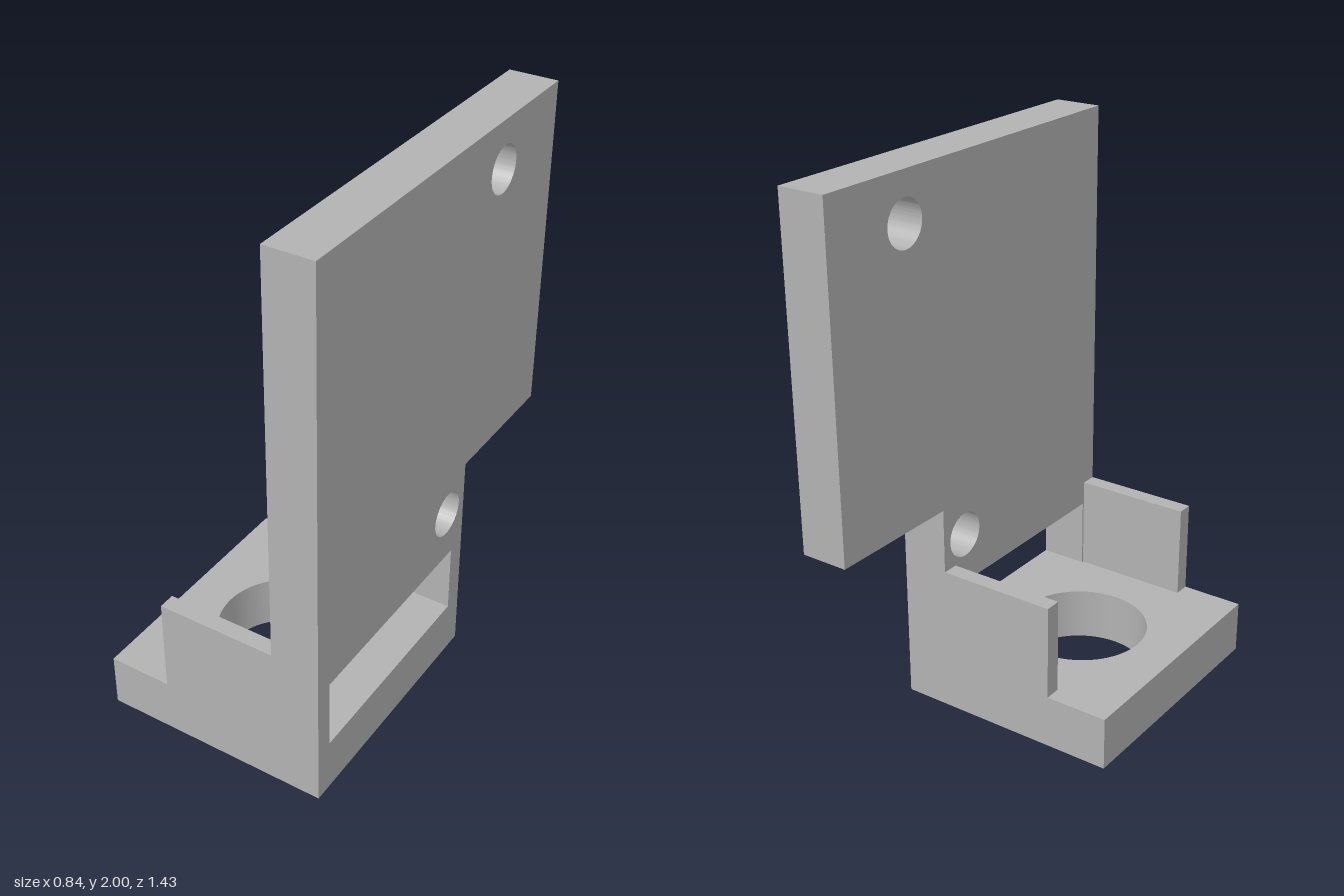
import * as THREE from 'three';
import { toCreasedNormals } from 'three/addons/utils/BufferGeometryUtils.js';

const grey = new THREE.MeshStandardMaterial({ color: 0xb2b2b2 });
grey.name = 'grey';

const BASE_TOP = 0.197, FRONT = 0.717, BACK = -0.215;
const PLATE_IN = 0.246, PLATE_OUT = 0.421;

const points = (list) => list.map(([x, y]) => new THREE.Vector2(x, y));
const circle = (x, y, r) => new THREE.Path().absarc(x, y, r, 0, Math.PI * 2, true);

// Flat slab with holes, smooth inside the bores and sharp elsewhere
function slab(outline, holes, depth) {
  const shape = new THREE.Shape(points(outline));
  shape.holes.push(...holes);
  const geometry = new THREE.ExtrudeGeometry(shape, { depth, bevelEnabled: false, curveSegments: 48 });
  return toCreasedNormals(geometry, Math.PI / 6);
}

export function createModel() {
  const group = new THREE.Group();
  group.name = 'mountingBracket';
  const add = (name, geometry) => {
    const mesh = new THREE.Mesh(geometry, grey);
    mesh.name = name;
    group.add(mesh);
  };

  // Upright plate: drawn in (-z, y), extruded along x
  const slot = new THREE.Path(points([[-0.65, BASE_TOP], [-0.65, 0.457], [0.143, 0.457], [0.143, BASE_TOP]]));
  add('uprightPlate', slab(
    [[-FRONT, 0], [-BACK, 0], [-BACK, 0.785], [FRONT, 0.785], [FRONT, 2], [-FRONT, 2]],
    [slot, circle(0.36, 1.83, 0.083), circle(0.098, 0.645, 0.083)],
    PLATE_OUT - PLATE_IN
  ).rotateY(Math.PI / 2).translate(PLATE_IN, 0, 0));

  // Base with the large bore: drawn in (x, -z), extruded upward
  add('base', slab(
    [[-PLATE_OUT, -FRONT], [PLATE_IN, -FRONT], [PLATE_IN, -BACK], [-PLATE_OUT, -BACK]],
    [circle(-0.015, -0.25, 0.244)],
    BASE_TOP
  ).rotateX(-Math.PI / 2));

  // Thin side walls at the front and back of the base
  const left = -0.189, top = 0.546, thick = 0.06;
  for (const [name, z] of [['frontWall', FRONT - thick / 2], ['backWall', BACK + thick / 2]]) {
    add(name, new THREE.BoxGeometry(PLATE_IN - left, top - BASE_TOP, thick)
      .translate((PLATE_IN + left) / 2, (top + BASE_TOP) / 2, z));
  }
  return group;
}
